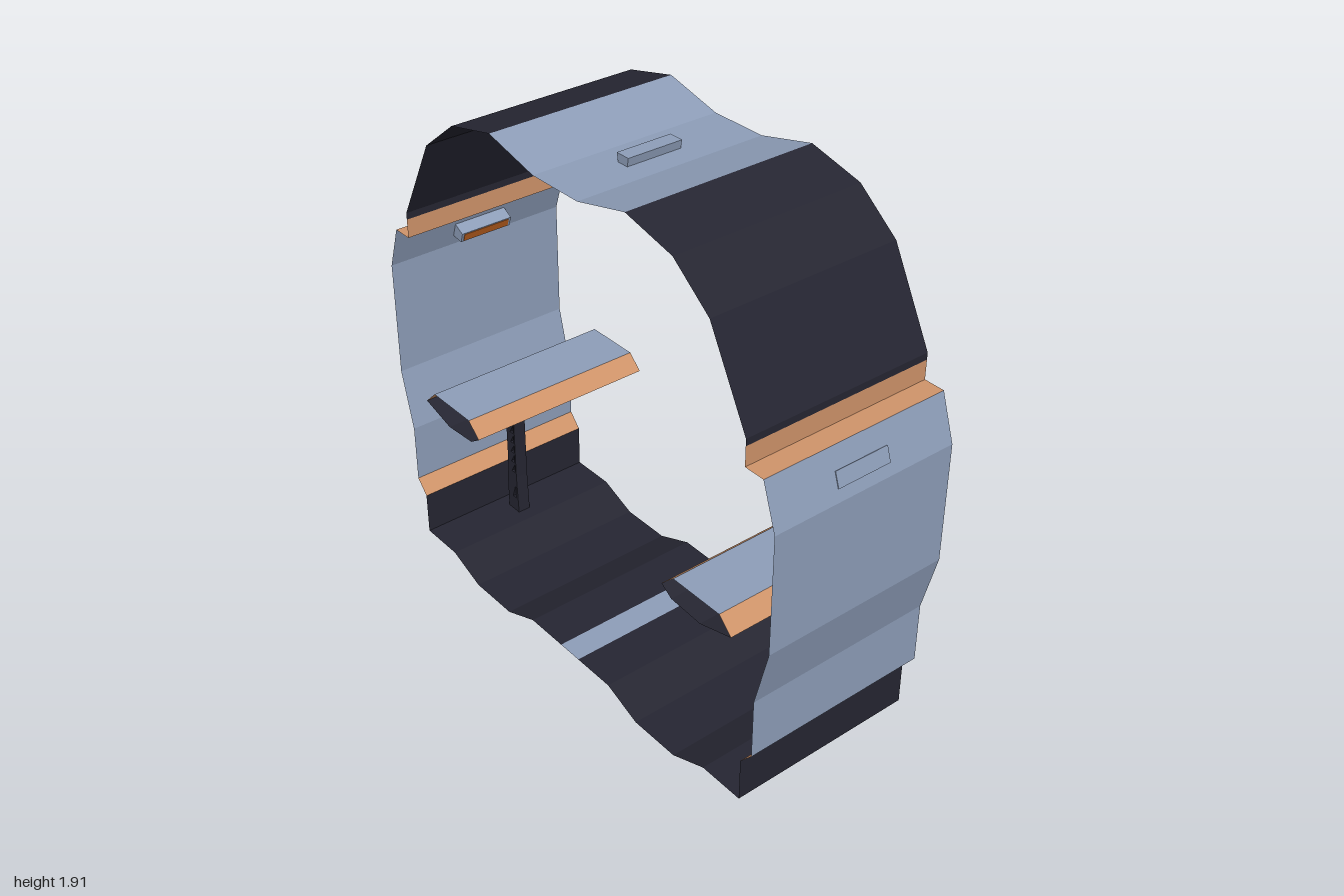
import * as THREE from 'three';

const HALF_DEPTH = 0.36;

export function createModel() {
  const root = new THREE.Group();
  root.name = 'corridorSection';

  const mat = (name, color) => {
    const m = new THREE.MeshStandardMaterial({ color, side: THREE.DoubleSide });
    m.name = name;
    return m;
  };
  const dark = mat('darkPanel', 0x262632);
  const grey = mat('blueGreyPanel', 0x8e9eb9);
  const tan = mat('tanTrim', 0xd0946a);
  const orange = mat('orangeLens', 0xc0621f);

  const add = (parent, name, geometry, material) => {
    const mesh = new THREE.Mesh(geometry, material);
    mesh.name = name;
    parent.add(mesh);
    return mesh;
  };

  // Thin faceted sheet: an x-y profile swept along the depth
  const sheet = (points, side = 1) => {
    const pos = [];
    for (let i = 0; i < points.length - 1; i++) {
      const [ax, ay] = points[i], [bx, by] = points[i + 1];
      const near = HALF_DEPTH * side, far = -near;
      const a = [ax * side, ay, near], b = [bx * side, by, near];
      const c = [bx * side, by, far], d = [ax * side, ay, far];
      pos.push(...a, ...d, ...c, ...a, ...c, ...b);
    }
    const g = new THREE.BufferGeometry();
    g.setAttribute('position', new THREE.Float32BufferAttribute(pos, 3));
    g.computeVertexNormals();
    return g;
  };

  const extrude = (shape, depth) => new THREE.ExtrudeGeometry(shape, { depth, bevelEnabled: false })
    .translate(0, 0, -depth / 2);
  const poly = (pts) => pts.map(([x, y]) => new THREE.Vector2(x, y));

  // Ring profiles, one half, from the floor round to the roof
  const ringParts = [
    ['floor', dark, [[0.05, 0.06], [0.22, 0.06], [0.37, 0], [0.57, 0], [0.72, 0.06], [0.895, 0.06], [0.895, 0.225]]],
    ['lowerTrim', tan, [[0.895, 0.225], [0.944, 0.28]]],
    ['wall', grey, [[0.944, 0.28], [0.944, 0.505], [1, 0.73], [1, 1.17], [0.945, 1.335]]],
    ['upperTrim', tan, [[0.945, 1.335], [0.868, 1.335], [0.868, 1.405]]],
    ['roof', dark, [[0.868, 1.405], [0.868, 1.43], [0.705, 1.74], [0.545, 1.865], [0.334, 1.915]]],
  ];

  // Bench: an open-ended six-sided tube
  const benchParts = [
    ['benchTop', grey, [[0.56, 0.742], [0.777, 0.742]]],
    ['benchInnerEdge', tan, [[0.504, 0.689], [0.56, 0.742]]],
    ['benchOuterEdge', tan, [[0.777, 0.742], [0.833, 0.687]]],
    ['benchUnderside', dark, [[0.833, 0.687], [0.69, 0.647], [0.552, 0.657], [0.504, 0.689]]],
  ];

  // Bench post with a lattice of triangular openings
  const postShape = (side) => {
    const flip = (pts) => poly(pts.map(([x, y]) => [x * side, y]));
    const s = new THREE.Shape(flip([[0.775, 0.06], [0.84, 0.06], [0.84, 0.2], [0.832, 0.25], [0.832, 0.575],
      [0.73, 0.722], [0.675, 0.682], [0.782, 0.555], [0.782, 0.22]]));
    s.holes.push(new THREE.Path(flip([[0.79, 0.12], [0.81, 0.12], [0.79, 0.18]])));
    for (let i = 0; i < 7; i++) {
      const y = 0.24 + i * 0.045;
      s.holes.push(new THREE.Path(flip([[0.789, y], [0.81, y], [0.789, y + 0.036]])));
    }
    for (let i = 0; i < 3; i++) {
      const x = 0.798 - i * 0.027, y = 0.567 + i * 0.036;
      s.holes.push(new THREE.Path(flip([[x, y], [x + 0.012, y + 0.014], [x - 0.016, y + 0.03]])));
    }
    return s;
  };

  for (const [prefix, side] of [['left', 1], ['right', -1]]) {
    const half = new THREE.Group();
    half.name = prefix + 'Side';
    root.add(half);
    for (const [name, material, pts] of [...ringParts, ...benchParts]) {
      add(half, name, sheet(pts, side), material);
    }
    add(half, 'benchPost', extrude(postShape(side), 0.05), dark);
  }

  // Centre floor strip and wavy ceiling panel
  add(root, 'floorStrip', sheet([[-0.05, 0.06], [0.05, 0.06]]), grey);
  add(root, 'ceilingPanel', sheet([[0.334, 1.915], [0.11, 1.86], [-0.11, 1.86], [-0.334, 1.915]]), grey);

  // Lamps: tapered housings with an orange lens on the narrow inner face
  const housing = new THREE.Shape(poly([[-0.019, -0.025], [0.019, -0.025], [0.028, 0.025], [-0.028, 0.025]]));
  const lamps = [['ceilingLamp', 0, 1.865, 0], ['leftLamp', 0.957, 1.229, -1.25], ['rightLamp', -0.957, 1.229, 1.25]];
  for (const [name, x, y, angle] of lamps) {
    const lamp = new THREE.Group();
    lamp.name = name;
    add(lamp, 'lampHousing', extrude(housing, 0.21), grey);
    add(lamp, 'lampLens', new THREE.BoxGeometry(0.03, 0.003, 0.19).translate(0, -0.0255, 0), orange);
    lamp.position.set(x, y, 0);
    lamp.rotation.z = angle;
    root.add(lamp);
  }

  return root;
}
